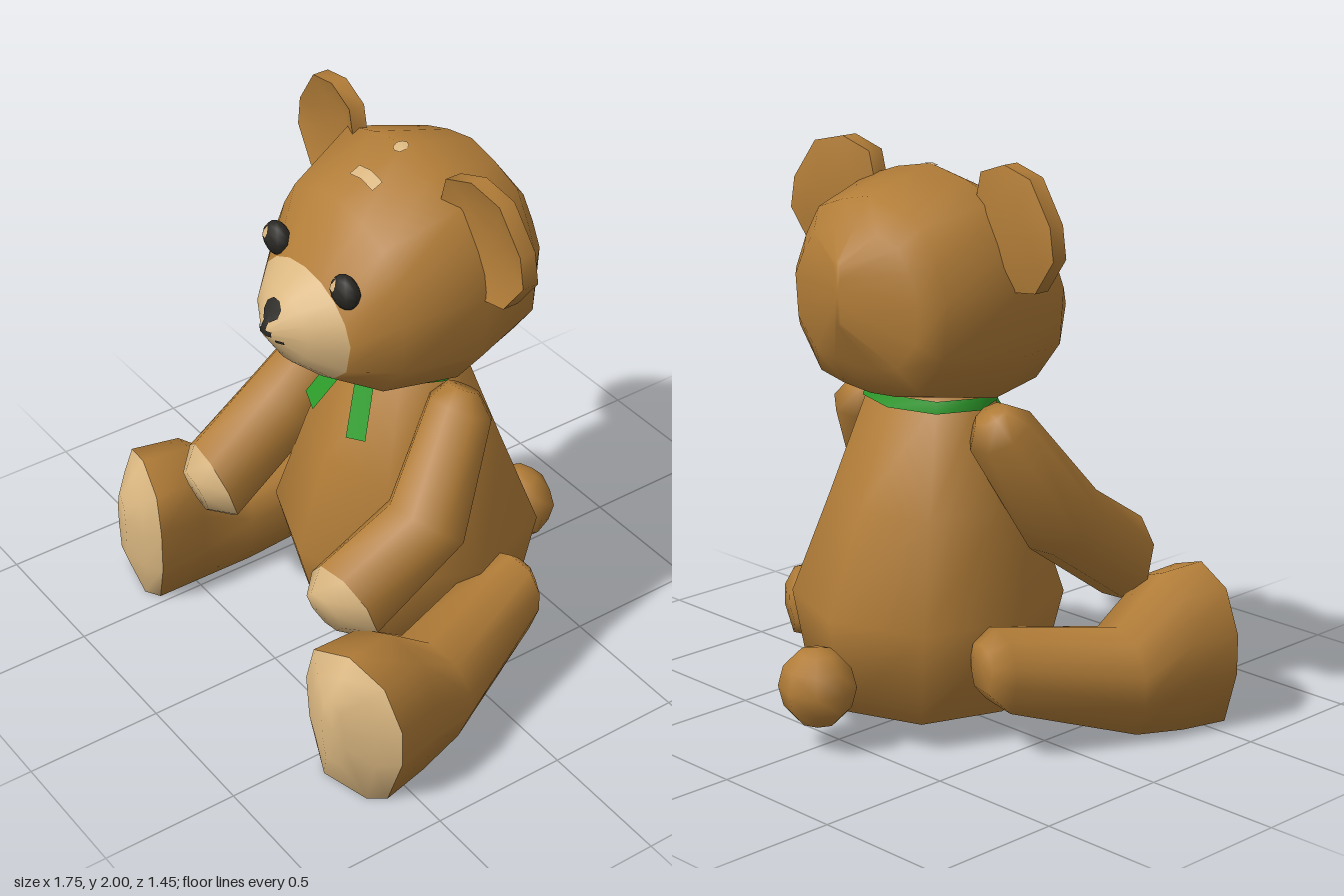
import * as THREE from 'three';

const V = (x, y, z) => new THREE.Vector3(x, y, z);
const mat = (name, color) => {
  const m = new THREE.MeshStandardMaterial({ color });
  m.name = name;
  return m;
};

// Unit cross-section shapes
const round = (sides, phase = 0, power = 2) => Array.from({ length: sides }, (_, i) => {
  const t = phase + (i / sides) * Math.PI * 2;
  return [Math.cos(t), Math.sin(t)].map((c) => Math.sign(c) * Math.pow(Math.abs(c), 2 / power));
});
const halfHead = [[0.35, 0.92], [0.68, 0.79], [0.86, 0.47], [1, 0.12], [0.96, -0.48], [0.67, -0.9], [0.35, -0.97]];
const headShape = [[0, 1], ...halfHead, [0, -1], ...halfHead.map(([x, y]) => [-x, y]).reverse()];
const faceShape = headShape.map(([x, y]) => [x / Math.hypot(x, y), y / Math.hypot(x, y)]);
const footShape = [[1, -0.28], [1, 0.25], [0.64, 0.8], [-0.07, 1], [-0.8, 0.8], [-0.97, 0.26], [-0.92, -0.37], [-0.65, -1], [0.7, -1]];
const earShape = [[0.27, 1.96], [0.39, 2], [0.52, 1.97], [0.62, 1.83], [0.638, 1.72], [0.55, 1.6], [0.4, 1.58], [0.28, 1.66], [0.23, 1.8]];

// Shape with half sizes a and b, lying across direction n
function ring(center, n, a, b, shape, up = V(0, 1, 0)) {
  const axis = n.clone().normalize();
  const u = up.clone().cross(axis).normalize();
  const v = axis.clone().cross(u);
  return shape.map(([p, q]) => center.clone().addScaledVector(u, a * p).addScaledVector(v, b * q));
}

// Smooth skin over a list of rings, optionally closed at either end; a repeated ring makes a sharp edge
function loft(rings, capStart = true, capEnd = true) {
  const n = rings[0].length, pts = rings.flat().map((p) => p.clone()), idx = [];
  for (let r = 0; r < rings.length - 1; r++) {
    if (rings[r] === rings[r + 1]) continue;
    for (let i = 0; i < n; i++) {
      const a = r * n + i, b = r * n + ((i + 1) % n);
      idx.push(a, b, b + n, a, b + n, a + n);
    }
  }
  const cap = (r, flip) => {
    const c = pts.length;
    pts.push(rings[r].reduce((s, p) => s.add(p), V(0, 0, 0)).divideScalar(n));
    for (let i = 0; i < n; i++) {
      const a = r * n + i, b = r * n + ((i + 1) % n);
      idx.push(c, flip ? b : a, flip ? a : b);
    }
  };
  if (capStart) cap(0, true);
  if (capEnd) cap(rings.length - 1, false);
  // Turn the faces outward
  const mid = pts.reduce((s, p) => s.add(p), V(0, 0, 0)).divideScalar(pts.length);
  let volume = 0;
  for (let i = 0; i < idx.length; i += 3) {
    const [a, b, c] = [0, 1, 2].map((k) => pts[idx[i + k]].clone().sub(mid));
    volume += a.dot(b.cross(c));
  }
  if (volume < 0) idx.reverse();
  const g = new THREE.BufferGeometry().setFromPoints(pts);
  g.setIndex(idx);
  g.computeVertexNormals();
  return g;
}

export function createModel() {
  const model = new THREE.Group();
  model.name = 'teddyBear';
  const fur = mat('brownFur', 0xb27d38);
  const pale = mat('paleFur', 0xd9b680);
  const dark = mat('blackPlastic', 0x2a2925);
  const green = mat('greenRibbon', 0x2c9a2a);
  green.side = THREE.DoubleSide;
  const add = (name, geometry, material) => {
    const mesh = new THREE.Mesh(geometry, material);
    mesh.name = name;
    model.add(mesh);
    return mesh;
  };

  // Body: level rings of [y, half width, back z, front z]
  const bodyShape = round(8, 0, 2.2);
  const level = ([y, rx, back, front]) =>
    ring(V(0, y, (back + front) / 2), V(0, 1, 0), rx, (front - back) / 2, bodyShape, V(0, 0, 1));
  add('body', loft([
    [0.01, 0.01, -0.05, -0.03], [0.1, 0.385, -0.48, 0.3], [0.44, 0.455, -0.54, 0.39],
    [0.8, 0.34, -0.395, 0.27], [1.17, 0.23, -0.245, 0.12],
  ].map(level)), fur);

  // Head: upright rings from back to front of [z, bottom y, top y, half width]
  const upright = (shape) => ([z, low, high, rx]) =>
    ring(V(0, (low + high) / 2, z), V(0, 0, 1), rx, (high - low) / 2, shape);
  const face = upright(faceShape)([0.335, 1.22, 1.62, 0.26]);
  const head = add('head', loft([
    ...[
      [-0.485, 1.46, 1.68, 0.02], [-0.405, 1.31, 1.785, 0.3], [-0.34, 1.205, 1.875, 0.37],
      [-0.06, 1.155, 1.95, 0.468], [0.2, 1.175, 1.83, 0.375],
    ].map(upright(headShape)), face,
  ], true, false), fur);
  const muzzle = add('muzzle', loft([
    face, ...[[0.43, 1.3, 1.56, 0.15], [0.5, 1.41, 1.45, 0.02]].map(upright(faceShape)),
  ], false, true), pale);

  // Painted details laid onto other parts from the given direction
  const caster = new THREE.Raycaster();
  const paint = (name, geometry, material, dir, targets = [head, muzzle]) => {
    const p = geometry.attributes.position;
    for (let i = 0; i < p.count; i++) {
      const start = V().fromBufferAttribute(p, i).addScaledVector(dir, 3);
      caster.set(start, dir.clone().negate());
      const hit = caster.intersectObjects(targets)[0];
      if (hit) {
        hit.point.addScaledVector(dir, 0.005);
        p.setXYZ(i, hit.point.x, hit.point.y, hit.point.z);
      }
    }
    geometry.computeVertexNormals();
    add(name, geometry, material);
  };
  const ahead = V(0, 0, 1), above = V(0, 1, 0);
  const patch = (w, h, x, y) => new THREE.PlaneGeometry(w, h, 4, 4).translate(x, y, 0);
  paint('nose', new THREE.CircleGeometry(0.043, 8, Math.PI / 8).scale(1, 0.85, 1).translate(0, 1.503, 0), dark, ahead);
  paint('noseLine', patch(0.026, 0.06, 0, 1.455), dark, ahead);
  paint('mouthCentre', patch(0.07, 0.02, 0, 1.432), dark, ahead);
  for (const s of [1, -1]) paint('mouthCorner', patch(0.03, 0.01, s * 0.06, 1.41), dark, ahead);
  const flat = (g, z) => g.rotateX(-Math.PI / 2).translate(0, 0, z);
  paint('crownSpot', flat(new THREE.CircleGeometry(0.027, 8), -0.05), pale, above);
  paint('crownPatch', flat(new THREE.PlaneGeometry(0.13, 0.04, 6, 2), 0.09), pale, above);

  // Tail
  add('tail', new THREE.SphereGeometry(0.142, 8, 6).scale(1, 1, 0.9).translate(0, 0.22, -0.595), fur);

  // Collar
  add('collar', loft([[1.14, 0.25, -0.265, 0.14], [1.18, 0.238, -0.25, 0.125]].map(level), false, false), green);

  for (const s of [1, -1]) {
    const side = s > 0 ? 'left' : 'right';

    // Ribbon ends
    const ribbon = new THREE.BufferGeometry().setFromPoints([
      V(s * 0.01, 1.16, 0.135), V(s * 0.1, 1.16, 0.125), V(s * 0.18, 0.965, 0.225), V(s * 0.1, 0.945, 0.25),
    ]);
    ribbon.setIndex(s > 0 ? [0, 2, 1, 0, 3, 2] : [0, 1, 2, 0, 2, 3]);
    ribbon.computeVertexNormals();
    add(side + 'Ribbon', ribbon, green);

    // Ear: a thin disc, swept back at its outer end, with a hollow front
    const ear = (z, scale) => earShape.map(([x, y]) => {
      const px = 0.44 + (x - 0.44) * scale;
      return V(s * px, 1.79 + (y - 1.79) * scale, z - (px - 0.25) * 0.1);
    });
    const earBack = ear(-0.09, 1), earFront = ear(-0.03, 1);
    add(side + 'Ear', loft([ear(-0.108, 0.6), earBack, earBack, earFront, earFront, ear(-0.055, 0.6)]), fur);

    // Eye with a small glint
    const eye = add(side + 'Eye', new THREE.SphereGeometry(0.06, 8, 6).scale(1.08, 1, 0.72).translate(s * 0.198, 1.62, 0.312), dark);
    const glint = new THREE.CircleGeometry(0.023, 6).scale(1.1, 0.9, 1).translate(s * 0.198 - 0.024, 1.645, 0);
    paint(side + 'EyeGlint', glint, pale, ahead, [eye, head]);

    // Arm and paw: [x, y, z, direction y, direction z, radius]
    const armShape = round(8, Math.PI / 8);
    const arm = ([x, y, z, dy, dz, r]) => ring(V(s * x, y, z), V(s * 0.1, dy, dz), r, r, armShape, V(0, 1, 1));
    const wrist = [0.412, 0.54, 0.475, -0.3, 0.95, 0.16];
    add(side + 'Arm', loft([
      [0.315, 1.145, -0.085, -0.85, 0.5, 0.06], [0.335, 1.085, -0.06, -0.85, 0.5, 0.12],
      [0.432, 0.75, 0.15, -0.75, 0.65, 0.152], wrist,
    ].map(arm), true, false), fur);
    add(side + 'Paw', loft([wrist, [0.405, 0.53, 0.555, -0.3, 0.95, 0.085]].map(arm), false, true), pale);

    // Leg and sole: [x, y, z, half width, half height]
    const legShape = footShape.map(([p, q]) => [s * p, q]);
    const leg = ([x, y, z, rx, ry]) => ring(V(s * x, y, z), V(s * 0.25, 0, 0.97), rx, ry, legShape);
    const soleEdge = [0.667, 0.27, 0.62, 0.215, 0.27];
    add(side + 'Leg', loft([
      [0.445, 0.32, -0.255, 0.07, 0.08], [0.47, 0.315, -0.2, 0.122, 0.14],
      [0.61, 0.2, 0.25, 0.17, 0.175], [0.645, 0.27, 0.44, 0.19, 0.265], soleEdge,
    ].map(leg), true, false), fur);
    add(side + 'Sole', loft([
      soleEdge, [0.675, 0.24, 0.665, 0.14, 0.24], [0.68, 0.27, 0.712, 0.05, 0.13],
    ].map(leg), false, true), pale);
  }
  return model;
}
